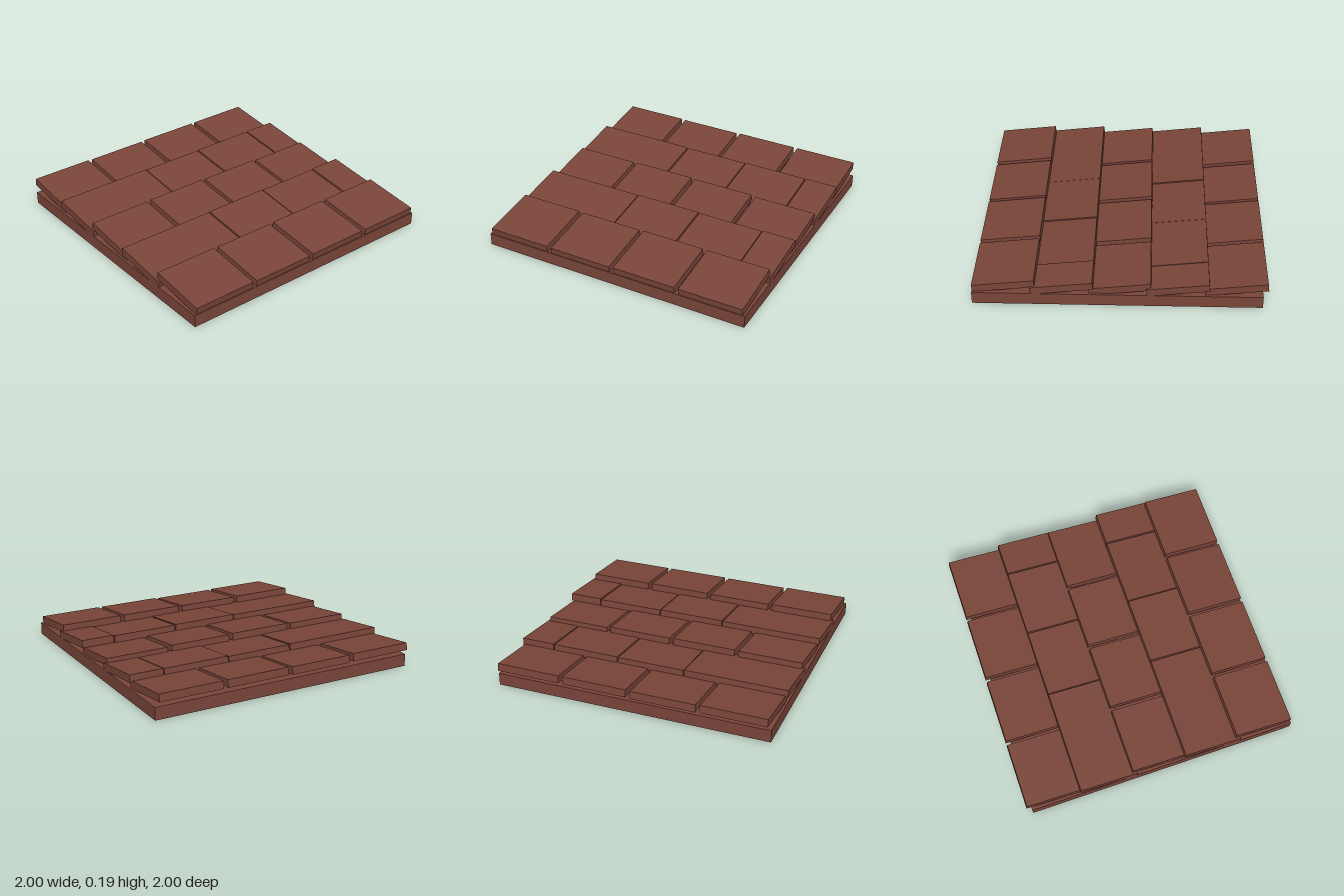
import * as THREE from 'three';

export function createModel() {
  const group = new THREE.Group();
  const clay = new THREE.MeshStandardMaterial({ color: 0x7a4539 });
  clay.name = 'red brown clay';

  // Base slab under the tiles
  const base = new THREE.Mesh(new THREE.BoxGeometry(2, 0.09, 1.966), clay);
  base.position.set(0, 0.045, 0.017);
  base.name = 'baseSlab';
  group.add(base);

  const ROWS = 5, SPACING = 0.393, LENGTH = 0.425, THICK = 0.055, TILT = 0.115;

  // One tile pivots on its front top edge, and rises toward the back
  function addTile(row, x0, x1, drop) {
    const geometry = new THREE.BoxGeometry(x1 - x0, THICK, LENGTH);
    geometry.translate(0, -THICK / 2, -LENGTH / 2);
    const tile = new THREE.Mesh(geometry, clay);
    tile.position.set((x0 + x1) / 2, 0.139 - drop, 1 - row * SPACING);
    tile.rotation.x = TILT;
    tile.name = 'tile';
    group.add(tile);
  }

  // Rows alternate between four spaced tiles and a staggered set
  const spaced = [-0.75, -0.25, 0.25, 0.75].map((c) => [c - 0.234, c + 0.234]);
  const staggered = [[-1, -0.254], [-0.246, 0.246], [0.254, 0.746], [0.754, 1]];
  for (let row = 0; row < ROWS; row++) {
    const spans = row % 2 ? staggered : spaced;
    spans.forEach(([x0, x1], i) => {
      // Slight unevenness in how the tiles are seated
      let drop = ((row * 3 + i * 2) % 4) * 0.002;
      if (i === 3) drop = row === 2 ? 0.013 : 0;
      addTile(row, x0, x1, drop);
    });
  }
  return group;
}
